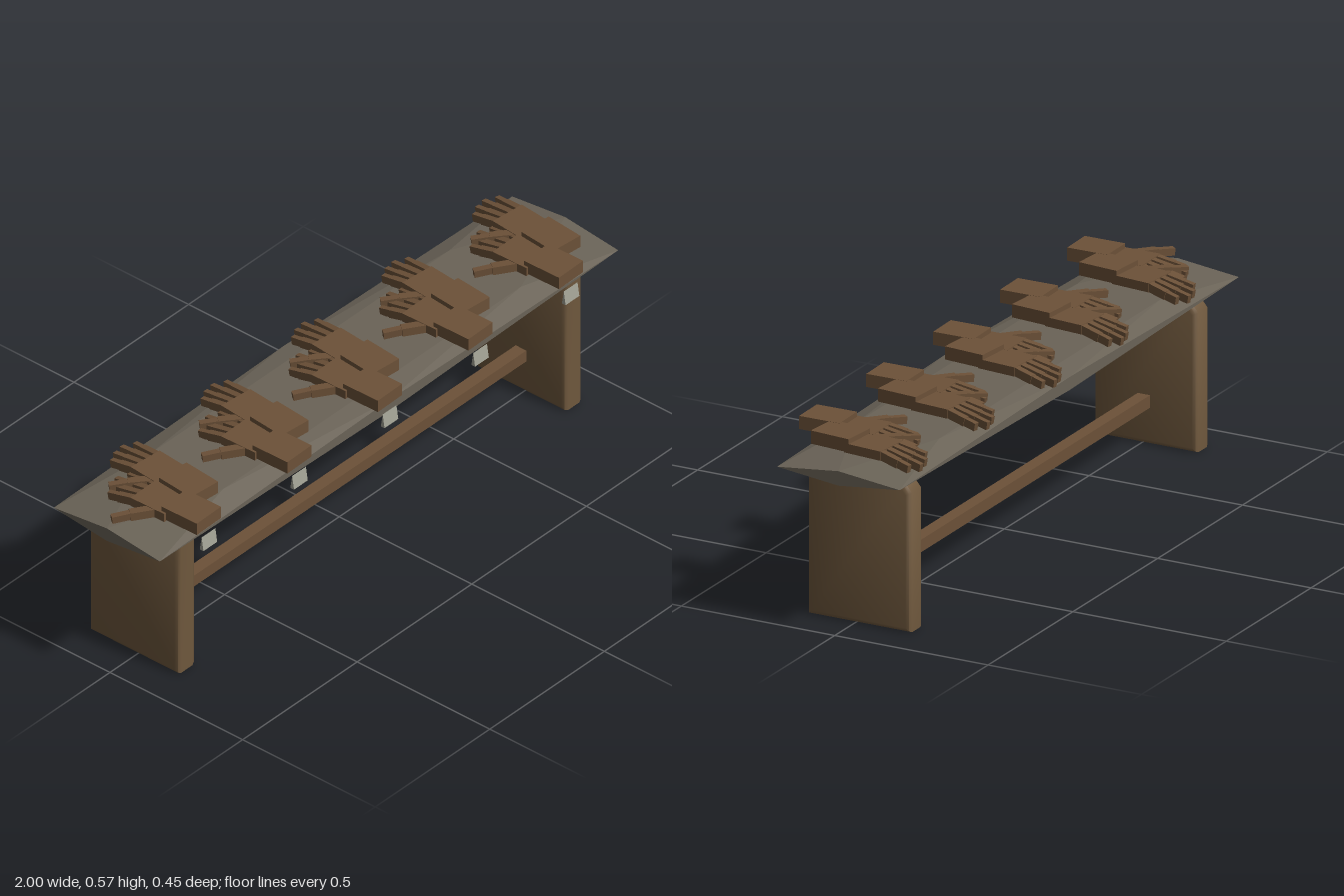
import * as THREE from 'three';
import { toCreasedNormals } from 'three/addons/utils/BufferGeometryUtils.js';
import { ConvexGeometry } from 'three/addons/geometries/ConvexGeometry.js';

const mat = (name, color, flatShading = false) => {
  const m = new THREE.MeshStandardMaterial({ color });
  m.name = name;
  m.flatShading = flatShading;
  return m;
};

export function createModel() {
  const legWood = mat('leg wood', 0x6f583d);
  const handWood = mat('carved wood', 0x6c5138, true);
  const stone = mat('grey seat', 0x6a6357, true);
  const tagGrey = mat('pale tag', 0xa3a395, true);

  const root = new THREE.Group();
  root.name = 'bench';
  const add = (parent, name, geo, material, x = 0, y = 0, z = 0) => {
    const m = new THREE.Mesh(geo, material);
    m.name = name;
    m.position.set(x, y, z);
    parent.add(m);
    return m;
  };

  // Seat: faceted lens with a thin rectangular rim
  const zc = -0.012, hz = 0.2, yc = 0.48;
  const pts = [];
  for (const s of [-1, 1]) {
    for (const t of [-1, 1]) {
      pts.push(new THREE.Vector3(s, yc, zc + t * hz));               // corner
      pts.push(new THREE.Vector3(s, yc + t * 0.022, zc));            // end middle
      pts.push(new THREE.Vector3(0, yc + t * 0.02, zc + s * hz));    // side middle
      for (const u of [-1, 1]) {
        pts.push(new THREE.Vector3(s * 0.65, yc + u * 0.032, zc + t * 0.135));
      }
    }
  }
  add(root, 'seat', new ConvexGeometry(pts), stone);

  // End legs: bevelled slabs with a clipped top back corner
  const b = 0.014;
  const profile = new THREE.Shape([
    [-0.155 + b, b], [0.18 - b, b], [0.18 - b, 0.425 - b / 2],
    [0.162 - b / 2, 0.445 - b], [-0.155 + b, 0.445 - b],
  ].map(([x, y]) => new THREE.Vector2(x, y)));
  const legGeo = toCreasedNormals(new THREE.ExtrudeGeometry(profile, {
    depth: 0.078 - 2 * b, bevelThickness: b, bevelSize: b, bevelSegments: 2,
  }).translate(0, 0, -(0.078 - 2 * b) / 2).rotateY(Math.PI / 2), 0.9);
  for (const s of [-1, 1]) {
    add(root, s > 0 ? 'leftLeg' : 'rightLeg', legGeo, legWood, s * 0.844, 0, 0);
  }

  // Stretcher between the legs
  add(root, 'stretcher', new THREE.BoxGeometry(1.64, 0.038, 0.04), handWood, 0, 0.131, -0.01)
    .rotation.z = -0.0015;

  // Wedge tags hanging from the front edge
  const wedge = new THREE.Shape([
    new THREE.Vector2(-0.197, 0.422), new THREE.Vector2(-0.183, 0.422), new THREE.Vector2(-0.19, 0.467),
  ]);
  const tagGeo = new THREE.ExtrudeGeometry(wedge, { depth: 0.06, bevelEnabled: false })
    .translate(0, 0, -0.03).rotateY(Math.PI / 2);

  // Box running from point a to point c, its top face kept upright
  const strip = (parent, name, a, c, w, h) => {
    const va = new THREE.Vector3(...a), vc = new THREE.Vector3(...c);
    const m = add(parent, name, new THREE.BoxGeometry(w, h, va.distanceTo(vc)), handWood);
    m.position.copy(va).add(vc).multiplyScalar(0.5);
    m.lookAt(vc);
    return m;
  };

  // One hand: origin at the palm centre, fingers toward the back
  const makeHand = () => {
    const hand = new THREE.Group();
    hand.name = 'hand';
    add(hand, 'palm', new THREE.BoxGeometry(0.115, 0.028, 0.125), handWood, 0, 0.536, 0);
    add(hand, 'wrist', new THREE.BoxGeometry(0.108, 0.04, 0.13), handWood, 0.004, 0.545, 0.112);
    [0.085, 0.108, 0.118, 0.1].forEach((len, i) => {
      const x = -0.045 + i * 0.03, fan = (i - 1.3) * 0.06;
      const at = (t) => [x + fan * len * t, 0.536 - 0.19 * len * t, -0.06 - len * t];
      strip(hand, 'fingerBase', at(0), at(0.62), 0.02, 0.026);
      strip(hand, 'fingerTip', at(0.6), at(1), 0.016, 0.024);
    });
    strip(hand, 'thumbBase', [-0.045, 0.536, 0.02], [-0.105, 0.533, -0.026], 0.026, 0.026);
    strip(hand, 'thumbTip', [-0.103, 0.533, -0.025], [-0.148, 0.528, -0.058], 0.02, 0.022);
    return hand;
  };

  // Five places along the bench: a pair of hands and a tag each
  for (let i = -2; i <= 2; i++) {
    const x = i * 0.395;
    add(root, 'tag', tagGeo, tagGrey, x, 0, 0);
    const pair = new THREE.Group();
    pair.name = 'handPair';
    pair.position.x = x;
    const near = makeHand(), far = makeHand();
    near.position.set(-0.045, 0.0005, 0.047);
    near.rotation.y = 0.02;
    far.position.set(0.062, 0, -0.045);
    far.rotation.y = -0.09;
    pair.add(near, far);
    root.add(pair);
  }
  return root;
}
